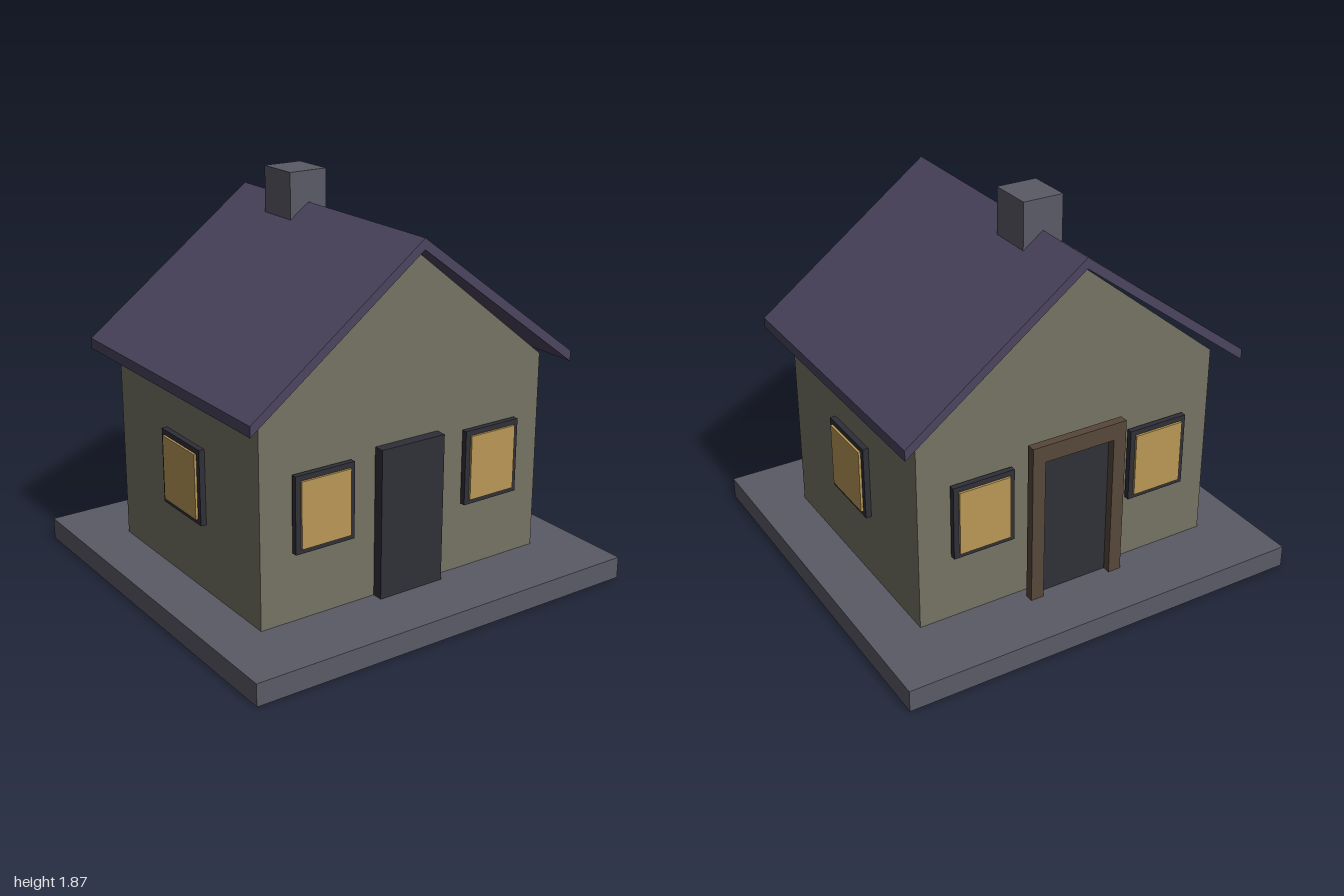
import * as THREE from 'three';

const material = (name, color) => {
  const m = new THREE.MeshStandardMaterial({ color });
  m.name = name;
  return m;
};

export function createModel() {
  const stone = material('stone', 0x5a5a66);
  const plaster = material('plaster', 0x757364);
  const slate = material('roofSlate', 0x4b455f);
  const dark = material('darkWood', 0x2f2f38);
  const glow = material('litGlass', 0xba9856);
  const brown = material('brownWood', 0x57473a);

  const house = new THREE.Group();
  house.name = 'house';

  // Box given by its minimum and maximum corners
  const box = (name, mat, min, max, parent = house) => {
    const size = max.map((v, i) => v - min[i]);
    const mesh = new THREE.Mesh(new THREE.BoxGeometry(...size), mat);
    mesh.position.set(...max.map((v, i) => (v + min[i]) / 2));
    mesh.name = name;
    parent.add(mesh);
  };

  // Outline in x and y, extruded evenly about z = 0
  const prism = (name, mat, points, depth) => {
    const shape = new THREE.Shape(points.map(([x, y]) => new THREE.Vector2(x, y)));
    const geometry = new THREE.ExtrudeGeometry(shape, { depth, bevelEnabled: false });
    geometry.translate(0, 0, -depth / 2);
    const mesh = new THREE.Mesh(geometry, mat);
    mesh.name = name;
    house.add(mesh);
  };

  // Plinth, gabled walls, roof and chimney
  box('base', stone, [-1, 0, -0.955], [1, 0.105, 0.955]);
  prism('walls', plaster,
    [[-0.76, 0.105], [0.76, 0.105], [0.76, 1.065], [0, 1.675], [-0.76, 1.065]], 1.215);
  prism('roof', slate,
    [[-0.858, 1.035], [0, 1.677], [0.858, 1.035], [0.858, 1.085], [0, 1.727], [-0.858, 1.085]], 1.415);
  box('chimney', stone, [-0.098, 1.6, -0.37], [0.098, 1.872, -0.155]);

  // Window facing +z: dark frame with a slightly proud lit pane
  const addWindow = (name, halfWidth, x, z, turn) => {
    const group = new THREE.Group();
    group.name = name;
    box('windowFrame', dark, [-halfWidth, 0.433, 0], [halfWidth, 0.79, 0.027], group);
    box('windowPane', glow, [-halfWidth + 0.025, 0.457, 0.005], [halfWidth - 0.025, 0.765, 0.038], group);
    group.position.set(x, 0, z);
    group.rotation.y = turn;
    house.add(group);
  };
  for (const side of [-1, 1]) {
    addWindow('frontWindow', 0.151, side * 0.456, 0.62, 0);
    addWindow('backWindow', 0.151, side * 0.456, -0.62, Math.PI);
    addWindow('sideWindow', 0.167, side * 0.762, 0, side * Math.PI / 2);
  }

  // Doors, and the timber surround at the back
  box('frontDoor', dark, [-0.17, 0.105, 0.6], [0.17, 0.812, 0.66]);
  box('backDoor', dark, [-0.18, 0.105, -0.655], [0.18, 0.812, -0.622]);
  for (const side of [-1, 1]) {
    const x = side * 0.21;
    box('backDoorPost', brown, [x - 0.032, 0.105, -0.694], [x + 0.032, 0.825, -0.652]);
  }
  box('backDoorLintel', brown, [-0.242, 0.81, -0.694], [0.242, 0.892, -0.652]);

  return house;
}
